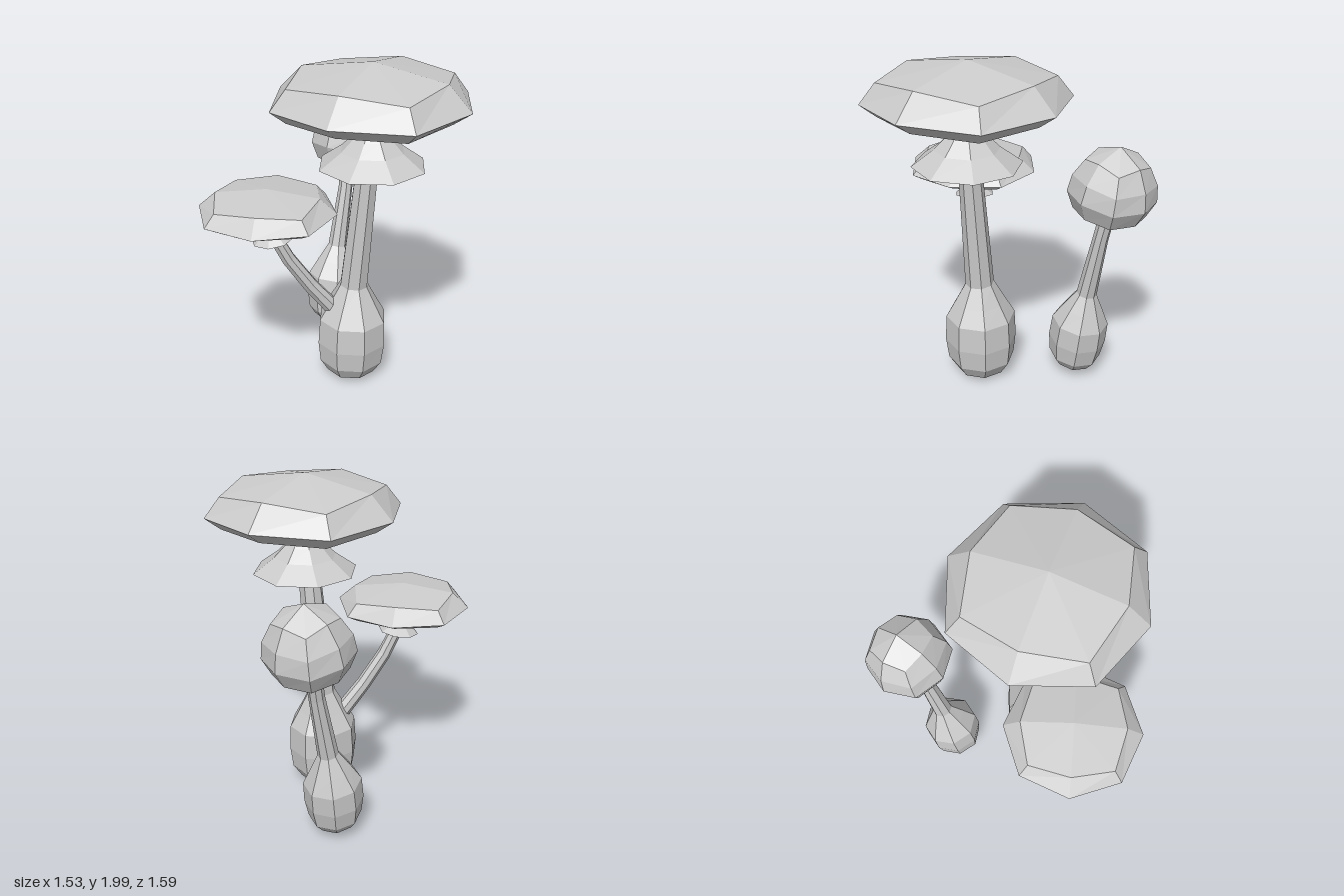
import * as THREE from 'three';

const SIDES = 8;
const material = new THREE.MeshStandardMaterial({ color: 0xcccccc, flatShading: true, side: THREE.DoubleSide });
const V = (x, y, z) => new THREE.Vector3(x, y, z);

// Skins eight-sided rings, listed bottom to top.
// ring: { c: centre, r: radius, rd: radius of odd corners, lift: rise of odd corners, t: axis }
function loft(name, rings, phase = 0) {
  const rows = rings.map(({ c, r, rd = r, lift = 0, t }) => {
    const u = V(1, 0, 0).addScaledVector(t, -t.x).normalize();
    const w = u.clone().cross(t);
    return Array.from({ length: SIDES }, (_, j) => {
      const a = phase + (j / SIDES) * Math.PI * 2;
      const odd = j % 2;
      const radius = odd ? rd : r;
      return c.clone().addScaledVector(u, radius * Math.cos(a))
        .addScaledVector(w, radius * Math.sin(a)).addScaledVector(t, odd ? lift : 0);
    });
  });
  const pos = [];
  const tri = (...pts) => pts.forEach((p) => pos.push(p.x, p.y, p.z));
  for (let i = 0; i < rows.length - 1; i++) {
    for (let j = 0; j < SIDES; j++) {
      const k = (j + 1) % SIDES;
      if (rings[i].r > 0) tri(rows[i][j], rows[i + 1][j], rows[i][k]);
      if (rings[i + 1].r > 0) tri(rows[i][k], rows[i + 1][j], rows[i + 1][k]);
    }
  }
  const geometry = new THREE.BufferGeometry();
  geometry.setAttribute('position', new THREE.Float32BufferAttribute(pos, 3));
  geometry.computeVertexNormals();
  const mesh = new THREE.Mesh(geometry, material);
  mesh.name = name;
  return mesh;
}

// Stem along a bent path of [x, y, z, radius]
function stem(name, path, phase) {
  const pts = path.map(([x, y, z]) => V(x, y, z));
  const last = pts.length - 1;
  return loft(name, path.map((p, i) => ({
    c: pts[i],
    r: p[3],
    t: pts[Math.min(i + 1, last)].clone().sub(pts[Math.max(i - 1, 0)]).normalize(),
  })), phase);
}

// Cap or skirt about a straight axis, from profile rows [height, radius, oddRadius, lift]
function turned(name, base, axis, profile, phase) {
  const t = axis.clone().normalize();
  return loft(name, profile.map(([h, r, rd, lift]) => ({
    c: base.clone().addScaledVector(t, h), r, rd, lift, t,
  })), phase);
}

export function createModel() {
  const group = new THREE.Group();
  const up = V(0, 1, 0);

  // Tall mushroom
  const tall = new THREE.Group();
  tall.name = 'tallMushroom';
  tall.add(
    stem('tallStem', [
      [0.115, 0.01, 0.145, 0], [0.115, 0.05, 0.145, 0.15], [0.117, 0.13, 0.145, 0.2],
      [0.118, 0.26, 0.147, 0.215], [0.12, 0.42, 0.148, 0.207], [0.122, 0.52, 0.15, 0.15],
      [0.125, 0.64, 0.152, 0.085], [0.175, 1.42, 0.205, 0.066], [0.19, 1.64, 0.215, 0.058],
      [0.19, 1.73, 0.215, 0.075],
    ]),
    turned('tallSkirt', V(0.195, 1.42, 0.22), up,
      [[0, 0.31], [0.09, 0.185], [0.16, 0.115], [0.225, 0.06]]),
    turned('tallCap', V(0.19, 1.71, 0.21), up, [
      [0.01, 0], [0, 0.485, 0.46, 0.01], [0.07, 0.575, 0.56, 0.012],
      [0.185, 0.485, 0.425, 0.035], [0.29, 0],
    ]),
  );

  // Side mushroom branching from the tall bulb
  const side = new THREE.Group();
  side.name = 'sideMushroom';
  const sidePhase = THREE.MathUtils.degToRad(-17);
  side.add(
    stem('sideStem', [
      [0.04, 0.44, 0.13, 0.05], [-0.01, 0.5, 0.13, 0.05], [-0.14, 0.665, 0.125, 0.045],
      [-0.27, 0.86, 0.12, 0.042], [-0.35, 1.02, 0.12, 0.038], [-0.382, 1.1, 0.12, 0.034],
      [-0.387, 1.16, 0.12, 0.048],
    ], sidePhase),
    turned('sideSkirt', V(-0.36, 1.005, 0.12), V(-0.13, 1, 0),
      [[0, 0.122], [0.04, 0.068], [0.1, 0.035]], sidePhase),
    turned('sideCap', V(-0.385, 1.145, 0.12), up, [
      [0.005, 0], [0, 0.335, 0.32, 0.006], [0.037, 0.4, 0.394, 0.005],
      [0.107, 0.338, 0.297, 0.022], [0.168, 0],
    ], sidePhase),
  );

  // Leaning young mushroom at the back
  const back = new THREE.Group();
  back.name = 'backMushroom';
  const backPhase = THREE.MathUtils.degToRad(13);
  back.add(
    stem('backStem', [
      [0.182, 0.06, -0.415, 0], [0.186, 0.085, -0.42, 0.115], [0.194, 0.14, -0.425, 0.155],
      [0.203, 0.25, -0.435, 0.172], [0.215, 0.38, -0.447, 0.168], [0.23, 0.48, -0.46, 0.115],
      [0.245, 0.58, -0.472, 0.06], [0.315, 0.97, -0.52, 0.045], [0.345, 1.18, -0.555, 0.045],
    ], backPhase),
    turned('backCap', V(0.35, 1.15, -0.55), V(0.1, 1, -0.09), [
      [0.01, 0], [0, 0.205, 0.195, 0.005], [0.1, 0.25, 0.243, 0.01],
      [0.2, 0.235, 0.222, 0.015], [0.3, 0.178, 0.155, 0.03], [0.4, 0],
    ], backPhase),
  );

  group.add(tall, side, back);
  return group;
}
